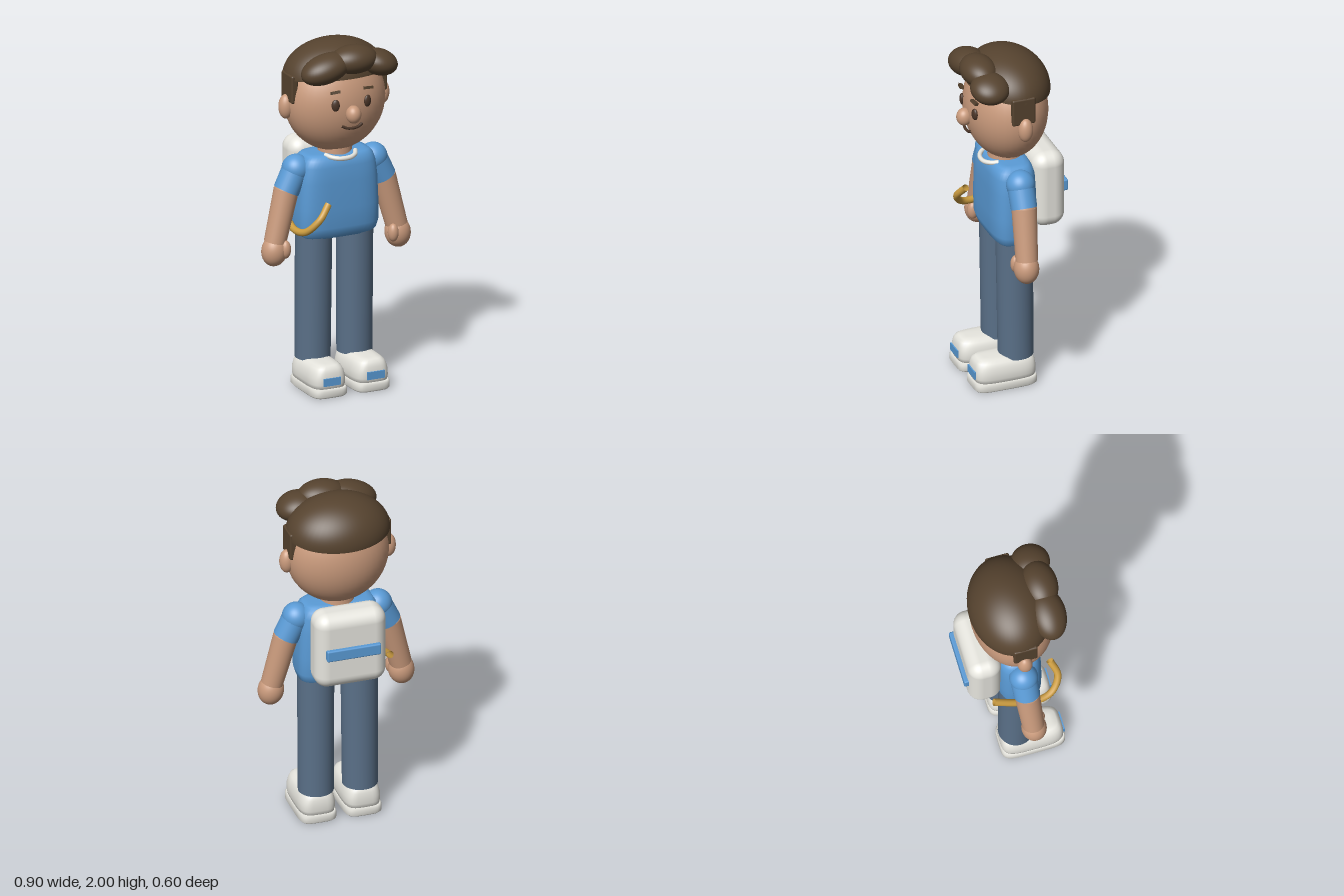
import * as THREE from 'three';
import { RoundedBoxGeometry } from 'three/addons/geometries/RoundedBoxGeometry.js';

const material = (name, color, side = THREE.FrontSide) => {
  const m = new THREE.MeshStandardMaterial({ color, side });
  m.name = name;
  return m;
};
const V = (x, y, z) => new THREE.Vector3(x, y, z);

// Closed body from stacked rounded sections: rows of [y, half width, half depth]
function loft(rows, power = 3.2, n = 40) {
  const pos = [], idx = [];
  const bend = (v) => Math.sign(v) * Math.abs(v) ** (2 / power);
  for (const [y, hx, hz] of rows) {
    for (let i = 0; i < n; i++) {
      const a = (i / n) * Math.PI * 2;
      pos.push(hx * bend(Math.sin(a)), y, hz * bend(Math.cos(a)));
    }
  }
  for (let r = 0; r < rows.length - 1; r++) {
    for (let i = 0; i < n; i++) {
      const a = r * n + i, b = r * n + ((i + 1) % n);
      idx.push(a, b, b + n, a, b + n, a + n);
    }
  }
  const low = pos.length / 3, high = low + 1, last = (rows.length - 1) * n;
  pos.push(0, rows[0][0], 0, 0, rows[rows.length - 1][0], 0);
  for (let i = 0; i < n; i++) {
    const j = (i + 1) % n;
    idx.push(low, j, i, high, last + i, last + j);
  }
  const g = new THREE.BufferGeometry();
  g.setAttribute('position', new THREE.Float32BufferAttribute(pos, 3));
  g.setIndex(idx);
  g.computeVertexNormals();
  return g;
}

export function createModel() {
  const skin = material('skin', 0xc99a7c);
  const hair = material('hair brown', 0x56432f);
  const dark = material('face brown', 0x4a3528);
  const blue = material('shirt blue', 0x5a9bd6);
  const denim = material('denim', 0x5a7088);
  const white = material('off white', 0xe6e5de);
  const gold = material('strap gold', 0xcb9c40, THREE.DoubleSide);
  const model = new THREE.Group();
  model.name = 'boy';

  const add = (name, geometry, mat, x = 0, y = 0, z = 0, parent = model) => {
    const mesh = new THREE.Mesh(geometry, mat);
    mesh.name = name;
    mesh.position.set(x, y, z);
    parent.add(mesh);
    return mesh;
  };
  const ball = (name, mat, [x, y, z], [rx, ry, rz], parent) =>
    add(name, new THREE.SphereGeometry(1, 40, 28).scale(rx, ry, rz), mat, x, y, z, parent);
  const tube = (name, mat, points, radius) =>
    add(name, new THREE.TubeGeometry(new THREE.CatmullRomCurve3(points), 40, radius, 12), mat);
  // Tapered limb between two points
  const limb = (name, mat, a, b, ra, rb, parent) => {
    const d = b.clone().sub(a);
    const m = add(name, new THREE.CylinderGeometry(rb, ra, d.length(), 32), mat, 0, 0, 0, parent);
    m.position.copy(a).addScaledVector(d, 0.5);
    m.quaternion.setFromUnitVectors(V(0, 1, 0), d.normalize());
    return m;
  };

  // Head and face
  ball('head', skin, [0, 1.655, 0.012], [0.29, 0.298, 0.228]);
  ball('nose', skin, [0, 1.625, 0.252], [0.043, 0.051, 0.045]);
  add('neck', new THREE.CylinderGeometry(0.09, 0.1, 0.12, 32), skin, 0, 1.36, 0.015);
  tube('mouth', dark, [V(-0.062, 1.56, 0.232), V(-0.035, 1.547, 0.239), V(0, 1.543, 0.242),
    V(0.035, 1.547, 0.239), V(0.062, 1.56, 0.232)], 0.008);
  for (const s of [-1, 1]) {
    const side = s > 0 ? 'left' : 'right';
    ball(side + 'Ear', skin, [s * 0.292, 1.64, 0.005], [0.042, 0.07, 0.042]);
    ball(side + 'Eye', dark, [s * 0.097, 1.683, 0.228], [0.023, 0.034, 0.014]).rotation.y = s * 0.3;
    const brow = add(side + 'Brow', new THREE.BoxGeometry(0.052, 0.015, 0.022), hair, s * 0.1, 1.76, 0.232);
    brow.rotation.set(-0.3, s * 0.2, -s * 0.05);
    add(side + 'Sideburn', new RoundedBoxGeometry(0.04, 0.16, 0.135, 3, 0.01), hair, s * 0.272, 1.752, 0.012);
  }

  // Hair: domed cap with a flat underside and three front tufts
  const cap = new THREE.Group();
  cap.name = 'hairCap';
  cap.position.set(0, 1.795, 0.002);
  cap.rotation.x = -0.12;
  model.add(cap);
  const dome = new THREE.SphereGeometry(1, 48, 24, 0, Math.PI * 2, 0, Math.PI / 2);
  add('hairDome', dome.scale(0.293, 0.2, 0.23), hair, 0, 0, 0, cap);
  const under = new THREE.CircleGeometry(1, 48).rotateX(Math.PI / 2);
  add('hairUnderside', under.scale(0.293, 1, 0.23), hair, 0, 0, 0, cap);
  ball('rightTuft', hair, [-0.135, 1.888, 0.182], [0.147, 0.08, 0.1]).rotation.z = 0.26;
  ball('middleTuft', hair, [0.035, 1.92, 0.183], [0.138, 0.08, 0.1]);
  ball('leftTuft', hair, [0.188, 1.88, 0.174], [0.11, 0.073, 0.109]).rotation.z = -0.28;

  // Shirt and collar
  add('shirt', loft([
    [0.868, 0.17, 0.07], [0.875, 0.205, 0.095], [0.895, 0.228, 0.114], [0.94, 0.24, 0.128],
    [1.05, 0.24, 0.131], [1.2, 0.233, 0.13], [1.29, 0.222, 0.126], [1.33, 0.208, 0.114],
    [1.35, 0.19, 0.095], [1.357, 0.16, 0.07],
  ], 3.6), blue, 0, 0, 0.015);
  tube('collar', white, [V(-0.092, 1.353, 0.085), V(-0.07, 1.347, 0.125), V(-0.03, 1.342, 0.15),
    V(0.03, 1.342, 0.15), V(0.07, 1.347, 0.125), V(0.092, 1.353, 0.085)], 0.013);

  // Arms
  for (const s of [-1, 1]) {
    const arm = new THREE.Group();
    arm.name = s > 0 ? 'leftArm' : 'rightArm';
    model.add(arm);
    const shoulder = V(s * 0.235, 1.275, 0.013), cuff = V(s * 0.295, 1.155, 0.015);
    ball('shoulder', blue, shoulder.toArray(), [0.08, 0.08, 0.08], arm);
    limb('sleeve', blue, shoulder, cuff, 0.076, 0.073, arm);
    ball('elbow', skin, [s * 0.297, 1.15, 0.015], [0.068, 0.068, 0.068], arm);
    limb('forearm', skin, V(s * 0.295, 1.16, 0.015), V(s * 0.37, 0.87, 0.028), 0.07, 0.062, arm);
    ball('hand', skin, [s * 0.375, 0.825, 0.032], [0.073, 0.088, 0.07], arm).rotation.z = s * 0.15;
    ball('thumb', skin, [s * 0.328, 0.838, 0.075], [0.03, 0.052, 0.032], arm);
  }

  // Legs and shoes
  for (const s of [-1, 1]) {
    const leg = new THREE.Group();
    leg.name = s > 0 ? 'leftLeg' : 'rightLeg';
    model.add(leg);
    limb('trouserLeg', denim, V(s * 0.127, 0.17, 0.0), V(s * 0.125, 0.93, 0.008), 0.099, 0.103, leg);
    add('shoe', loft([
      [0.045, 0.1, 0.172], [0.08, 0.107, 0.178], [0.115, 0.105, 0.177], [0.145, 0.097, 0.173],
      [0.168, 0.085, 0.164], [0.181, 0.066, 0.148], [0.186, 0.04, 0.115],
    ], 4), white, s * 0.13, 0, 0.08, leg);
    add('sole', loft([
      [0.004, 0.1, 0.174], [0.014, 0.109, 0.183], [0.045, 0.109, 0.183], [0.057, 0.102, 0.176],
    ], 5), white, s * 0.13, 0, 0.082, leg);
    add('shoePatch', new THREE.BoxGeometry(0.105, 0.044, 0.009), blue, s * 0.133, 0.098, 0.259, leg);
  }

  // Backpack with a raised band, and the loose strap
  add('backpack', new RoundedBoxGeometry(0.41, 0.455, 0.19, 6, 0.075), white, 0, 1.168, -0.183);
  add('backpackBand', new RoundedBoxGeometry(0.31, 0.066, 0.035, 2, 0.008), blue, 0, 1.168, -0.283);
  tube('strap', gold, [V(-0.25, 1.04, -0.16), V(-0.268, 0.98, -0.03), V(-0.272, 0.943, 0.08),
    V(-0.25, 0.955, 0.17), V(-0.19, 1.03, 0.222), V(-0.125, 1.105, 0.195)], 0.02);

  return model;
}
